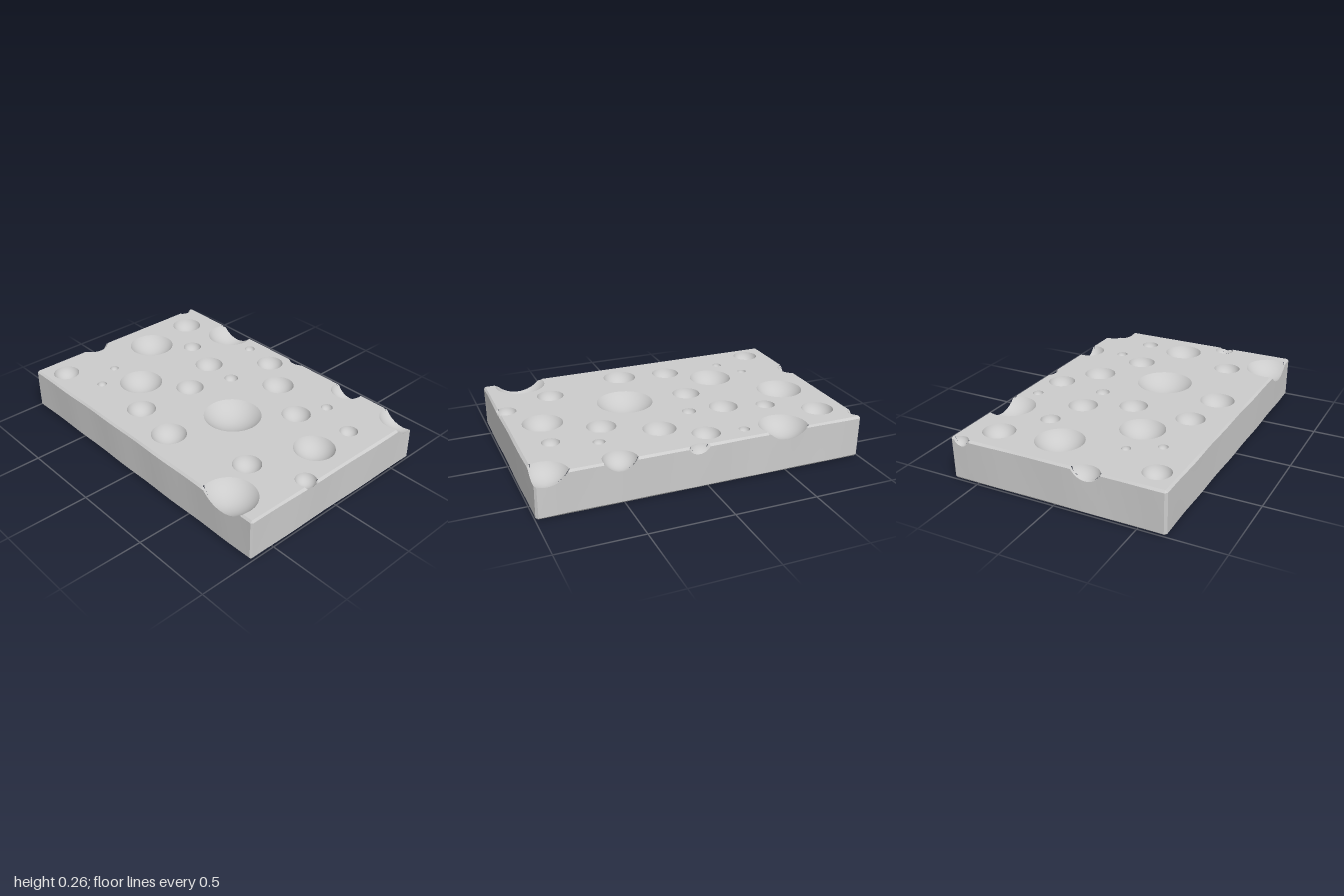
import * as THREE from 'three';
import { toCreasedNormals } from 'three/addons/utils/BufferGeometryUtils.js';

const H = 0.262, B = 0.012;      // slab height, bevel
const A = 0.983, C = 0.651;      // half size of the flat top inside the bevel

// Craters: x, z, radius
const craters = [
  [-0.505, -0.59, 0.145], [-0.815, -0.46, 0.095], [-0.27, -0.556, 0.033], [-0.045, -0.52, 0.083],
  [0.06, -0.715, 0.085], [0.515, -0.635, 0.098], [0.93, -0.64, 0.13], [0.18, -0.365, 0.098],
  [0.556, -0.4, 0.035], [0.807, -0.305, 0.053], [0.48, -0.21, 0.087], [0.783, -0.035, 0.12],
  [0.233, 0.078, 0.172], [-0.174, 0.062, 0.085], [-0.078, -0.203, 0.043], [-0.302, -0.214, 0.088],
  [-0.553, -0.286, 0.058], [-0.757, -0.096, 0.142], [-0.43, 0.25, 0.133], [-0.68, 0.275, 0.027],
  [-0.575, 0.447, 0.029], [-0.84, 0.537, 0.08], [-0.185, 0.438, 0.087], [0.126, 0.481, 0.104],
  [0.634, 0.347, 0.083], [0.943, 0.21, 0.06], [0.767, 0.605, 0.157], [-1.03, 0.2, 0.1],
  [-1.01, -0.59, 0.053],
].map(([x, z, r]) => {
  const depth = r * Math.max(0.45, 1.05 - 3.5 * r);
  const c = (r * r - depth * depth) / (2 * depth);
  return { x, z, r, c, R: c + depth };
});

// Depth of one spherical crater, and height of the cratered top
const capDepth = (k, x, z) =>
  Math.max(0, Math.sqrt(Math.max(0, k.R ** 2 - (x - k.x) ** 2 - (z - k.z) ** 2)) - k.c);
const topHeight = (x, z) => H - Math.max(...craters.map((k) => capDepth(k, x, z)));
const craterAt = (x, z) => craters.find((k) => Math.hypot(x - k.x, z - k.z) < k.r);

// Points round the flat top's rim, each with its outward direction
function rimPoints() {
  const corners = [[-A, C], [A, C], [A, -C], [-A, -C]];
  const normals = [[0, 1], [1, 0], [0, -1], [-1, 0]];
  const points = [];
  corners.forEach(([x0, z0], s) => {
    const [x1, z1] = corners[(s + 1) % 4], [nx, nz] = normals[s];
    const n = Math.round(Math.hypot(x1 - x0, z1 - z0) / 0.007);
    for (let i = 0; i <= n; i++) {
      points.push({ x: x0 + (x1 - x0) * i / n, z: z0 + (z1 - z0) * i / n, nx, nz });
    }
  });
  return points;
}

function meshData(positions, index) {
  const g = new THREE.BufferGeometry();
  g.setAttribute('position', new THREE.Float32BufferAttribute(positions, 3));
  g.setIndex(index);
  return g;
}

// Bevelled, slightly uneven walls that dip where a crater breaks the edge
function wallGeometry(rim) {
  const rows = [[0, 0], [B, 1], [H / 2, 1], [H - B, 1], [H, 0]];
  const pos = [], index = [], n = rim.length;
  rows.forEach(([y, out], r) => {
    rim.forEach((p, i) => {
      const wave = 0.003 * Math.sin(5 * p.x + 4 * p.z + 6 * y) * Math.sin(9 * p.x - 7 * p.z);
      const d = out * (B + wave);
      const x = p.x + p.nx * d, z = p.z + p.nz * d;
      pos.push(x, Math.min(y, topHeight(x, z)), z);
      if (r === 0) return;
      const j = (i + 1) % n, a = (r - 1) * n, b = r * n;
      index.push(a + i, a + j, b + j, a + i, b + j, b + i);
    });
  });
  return toCreasedNormals(meshData(pos, index), 0.5);
}

// Flat top: rim notched by the edge craters, with round holes for the others
function topGeometry(rim) {
  const outline = [];
  let entered = null, last = null;
  for (const p of [...rim, rim[0]]) {
    const k = craterAt(p.x, p.z);
    if (k) { entered = k; continue; }
    if (entered) {
      const e = entered;
      const a0 = Math.atan2(e.z - last.z, last.x - e.x);
      let a1 = Math.atan2(e.z - p.z, p.x - e.x);
      if (a1 > a0) a1 -= 2 * Math.PI;
      for (let i = 1; i < 40; i++) {
        const a = a0 + (a1 - a0) * i / 40;
        outline.push(new THREE.Vector2(e.x + e.r * Math.cos(a), -e.z + e.r * Math.sin(a)));
      }
      entered = null;
    }
    if (!last || last.x !== p.x || last.z !== p.z) outline.push(new THREE.Vector2(p.x, -p.z));
    last = p;
  }
  outline.pop();
  const shape = new THREE.Shape(outline);
  for (const k of craters) {
    if (Math.abs(k.x) + k.r < A && Math.abs(k.z) + k.r < C) {
      shape.holes.push(new THREE.Path().absarc(k.x, -k.z, k.r, 0, 2 * Math.PI, true));
    }
  }
  return new THREE.ShapeGeometry(shape, 48).rotateX(-Math.PI / 2).translate(0, H, 0);
}

// Crater bowl: polar patch clipped to the flat top's rectangle
function bowlGeometry(k) {
  const N = 96, RINGS = 12;
  const ax = A - 0.1 * k.r, az = C - 0.1 * k.r;
  const ox = THREE.MathUtils.clamp(k.x, -ax, ax), oz = THREE.MathUtils.clamp(k.z, -az, az);
  const px = ox - k.x, pz = oz - k.z;
  const pos = [ox, H - capDepth(k, ox, oz), oz], index = [];
  for (let r = 1; r <= RINGS; r++) {
    for (let j = 0; j < N; j++) {
      const dx = Math.cos(j / N * 2 * Math.PI), dz = Math.sin(j / N * 2 * Math.PI);
      const along = px * dx + pz * dz;
      const reach = Math.min(
        -along + Math.sqrt(Math.max(0, along ** 2 - px ** 2 - pz ** 2 + k.r ** 2)),
        (A - Math.sign(dx) * ox) / Math.max(1e-9, Math.abs(dx)),
        (C - Math.sign(dz) * oz) / Math.max(1e-9, Math.abs(dz)));
      const t = reach * Math.sin(r / RINGS * Math.PI / 2);
      const x = ox + dx * t, z = oz + dz * t;
      pos.push(x, H - capDepth(k, x, z), z);
      const m = (j + 1) % N, b = 1 + (r - 1) * N, a = b - N;
      if (r === 1) index.push(0, b + m, b + j);
      else index.push(a + j, a + m, b + j, a + m, b + m, b + j);
    }
  }
  const g = meshData(pos, index);
  g.computeVertexNormals();
  return g;
}

export function createModel() {
  const group = new THREE.Group();
  group.name = 'crateredSlab';
  const material = new THREE.MeshStandardMaterial({ color: 0xcccccc });
  const add = (name, geometry, parent = group) => {
    const mesh = new THREE.Mesh(geometry, material);
    mesh.name = name;
    parent.add(mesh);
  };
  const rim = rimPoints();
  add('walls', wallGeometry(rim));
  add('top', topGeometry(rim));
  add('base', new THREE.PlaneGeometry(2 * A, 2 * C).rotateX(Math.PI / 2));

  const bowls = new THREE.Group();
  bowls.name = 'craters';
  craters.forEach((k) => add('crater', bowlGeometry(k), bowls));
  group.add(bowls);
  return group;
}
